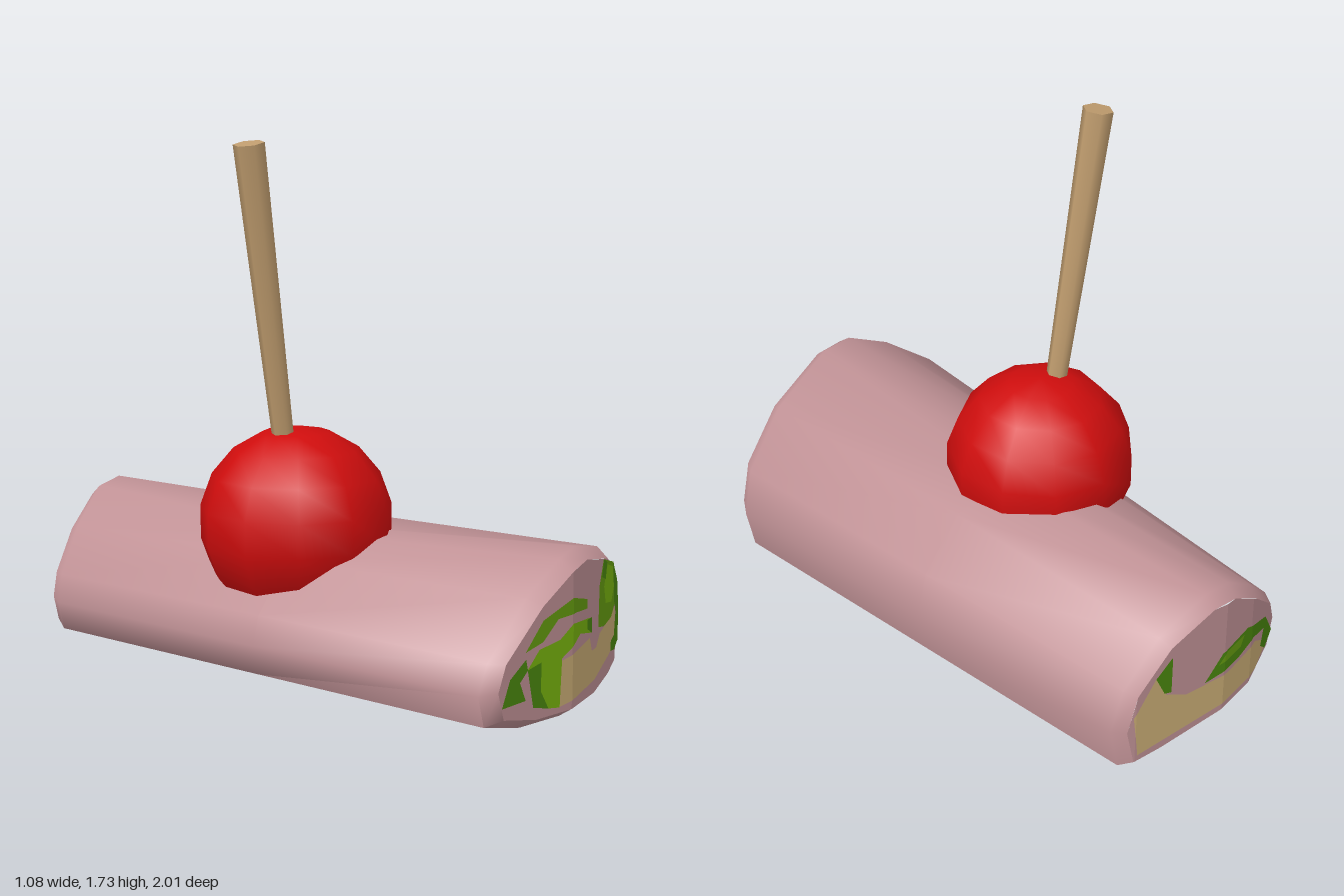
import * as THREE from 'three';
import { toCreasedNormals } from 'three/addons/utils/BufferGeometryUtils.js';

const mat = (name, color, side = THREE.FrontSide) => {
  const m = new THREE.MeshStandardMaterial({ color, side });
  m.name = name;
  return m;
};

// Piecewise linear z over x, given as [x, z] stations
const lerpTable = (table) => (x) => {
  let i = 0;
  while (i < table.length - 2 && x > table[i + 1][0]) i++;
  const [x0, z0] = table[i], [x1, z1] = table[i + 1];
  return z0 + (z1 - z0) * (x - x0) / (x1 - x0);
};

// Keep the part of a polygon on one side of a vertical line
function clip(poly, x, keepRight) {
  const inside = (p) => (keepRight ? p[0] >= x : p[0] <= x);
  const out = [];
  poly.forEach((p, i) => {
    const q = poly[(i + 1) % poly.length];
    if (inside(p)) out.push(p);
    if (inside(p) !== inside(q)) out.push([x, p[1] + (q[1] - p[1]) * (x - p[0]) / (q[0] - p[0])]);
  });
  return out;
}

// Flat patch laid on an end surface that bends along x; sign +1 faces front, -1 back
function patch(poly, table, sign, lift) {
  const group = new THREE.Group();
  const zAt = lerpTable(table);
  return { build(name, material) {
    for (let s = 0; s < table.length - 1; s++) {
      let part = poly;
      if (s > 0) part = clip(part, table[s][0], true);
      if (s < table.length - 2) part = clip(part, table[s + 1][0], false);
      if (part.length < 3) continue;
      const g = new THREE.ShapeGeometry(new THREE.Shape(part.map((p) => new THREE.Vector2(p[0], p[1]))));
      const pos = g.attributes.position;
      for (let i = 0; i < pos.count; i++) pos.setZ(i, zAt(pos.getX(i)) + sign * lift);
      if (sign < 0) g.setIndex(Array.from(g.index.array).reverse());
      g.computeVertexNormals();
      group.add(new THREE.Mesh(g, material));
    }
    group.name = name;
    return group;
  } };
}

// Skin through rings of equal point count
function loft(rings) {
  const n = rings[0].length, index = [];
  for (let i = 0; i < rings.length - 1; i++) {
    for (let j = 0; j < n; j++) {
      const a = i * n + j, b = i * n + (j + 1) % n;
      index.push(a, b, a + n, b, b + n, a + n);
    }
  }
  const g = new THREE.BufferGeometry();
  g.setAttribute('position', new THREE.Float32BufferAttribute(rings.flat(2), 3));
  g.setIndex(index);
  return toCreasedNormals(g, 1.0);
}

export function createModel() {
  const model = new THREE.Group();
  const pink = mat('wrap pink', 0xc39498);
  const red = mat('tomato red', 0xcf0d0d);
  const wood = mat('stick wood', 0xbf9c6e);
  const tan = mat('filling tan', 0xceb078);
  const lime = mat('leaf lime', 0x7bb80f);
  const leaf = mat('leaf green', 0x68a010);
  const dark = mat('leaf dark green', 0x4c8a0e);

  // Wrap body: matching outlines of the two ends
  const front = [[-0.54, 0.15], [-0.5, 0.24], [-0.3, 0.4], [-0.13, 0.49], [0, 0.505], [0.29, 0.44],
    [0.49, 0.31], [0.535, 0.16], [0.49, 0], [0.3, 0], [0.08, 0], [-0.12, 0], [-0.33, 0.01], [-0.51, 0.05]];
  const back = [[-0.46, 0.15], [-0.43, 0.24], [-0.29, 0.38], [-0.14, 0.49], [-0.03, 0.508], [0.17, 0.445],
    [0.32, 0.31], [0.36, 0.16], [0.33, 0.01], [0.2, 0], [0.05, 0], [-0.1, 0], [-0.27, 0], [-0.42, 0.05]];
  const frontZ = [[-0.54, 0.99], [-0.12, 0.998], [0.08, 0.95], [0.3, 0.862], [0.54, 0.75]];
  const backZ = [[-0.46, -0.88], [-0.25, -0.965], [-0.09, -1], [0.3, -1], [0.36, -0.99]];
  const inset = (pts, cx) => pts.map(([x, y]) => [cx + (x - cx) * 0.93, 0.22 + (y - 0.22) * 0.87]);
  const place = (pts, table, dz) => pts.map(([x, y]) => [x, y, lerpTable(table)(x) + dz]);

  const frontCap = inset(front, 0), backCap = inset(back, -0.05);
  const frontRing = place(front, frontZ, -0.045), backRing = place(back, backZ, 0.04);
  const middle = frontRing.map((p, i) => p.map((v, k) => (v + backRing[i][k]) / 2));
  middle[3][1] -= 0.045; // the ridge sags under the tomato
  middle[4][1] -= 0.057;
  const body = new THREE.Mesh(loft([place(frontCap, frontZ, 0), frontRing, middle, backRing,
    place(backCap, backZ, 0)]), pink);
  body.name = 'wrapBody';
  model.add(body);
  model.add(patch(frontCap, frontZ, 1, 0).build('frontEnd', pink));
  model.add(patch(backCap, backZ, -1, 0).build('backEnd', pink));

  // Fillings showing on the front end
  const frontFill = [
    ['frontSpread', tan, [[-0.2, 0.19], [0.03, 0.215], [0.05, 0.17], [0.1, 0.17], [0.15, 0.2], [0.43, 0.215],
      [0.43, 0.09], [0.3, 0.09], [0, 0.065], [-0.2, 0.05]]],
    ['upperLeaf', leaf, [[-0.37, 0.255], [-0.28, 0.335], [-0.12, 0.375], [0, 0.345], [0, 0.315], [-0.1, 0.325],
      [-0.2, 0.325], [-0.28, 0.27]]],
    ['middleLeaf', lime, [[-0.36, 0.2], [-0.3, 0.25], [-0.19, 0.26], [-0.12, 0.295], [0.03, 0.28], [0.04, 0.23],
      [-0.06, 0.25], [-0.18, 0.2], [-0.19, 0.05], [-0.25, 0.06], [-0.32, 0.1]]],
    ['leafShade', dark, [[-0.36, 0.2], [-0.29, 0.21], [-0.29, 0.12], [-0.25, 0.06], [-0.33, 0.08]]],
    ['sideLeaf', dark, [[-0.49, 0.11], [-0.45, 0.19], [-0.37, 0.235], [-0.36, 0.2], [-0.4, 0.17], [-0.37, 0.11]]],
    ['leafTip', dark, [[0, 0.28], [0.04, 0.28], [0.04, 0.23], [0, 0.25]]],
    ['largeLeaf', leaf, [[0.11, 0.23], [0.12, 0.36], [0.18, 0.43], [0.36, 0.38], [0.43, 0.31], [0.43, 0.24],
      [0.33, 0.21], [0.2, 0.21]]],
    ['leafHighlight', lime, [[0.19, 0.34], [0.24, 0.4], [0.34, 0.37], [0.38, 0.3], [0.32, 0.26], [0.22, 0.28]]],
    ['outerLeaf', dark, [[0.35, 0.38], [0.45, 0.3], [0.49, 0.19], [0.48, 0.09], [0.4, 0.08], [0.31, 0.1],
      [0.32, 0.13], [0.39, 0.13], [0.42, 0.2], [0.38, 0.25]]],
    ['leafKnot', dark, [[0.15, 0.38], [0.18, 0.43], [0.23, 0.41], [0.21, 0.36]]],
  ];
  // Fillings showing on the back end
  const backFill = [
    ['backSpread', tan, [[0.29, 0.06], [0.31, 0.22], [0.22, 0.33], [0.17, 0.24], [0.08, 0.19], [-0.12, 0.17],
      [-0.28, 0.18], [-0.39, 0.1], [-0.3, 0.05]]],
    ['backSmallLeaf', dark, [[0.22, 0.33], [0.15, 0.38], [0.15, 0.24], [0.18, 0.25]]],
    ['backLeaf', dark, [[0, 0.19], [-0.08, 0.27], [-0.22, 0.28], [-0.36, 0.22], [-0.42, 0.12], [-0.37, 0.08],
      [-0.33, 0.12], [-0.35, 0.18], [-0.26, 0.21], [-0.17, 0.19]]],
    ['backLeafHighlight', leaf, [[-0.06, 0.23], [-0.1, 0.265], [-0.2, 0.265], [-0.18, 0.23]]],
  ];
  [[frontFill, frontZ, 1], [backFill, backZ, -1]].forEach(([fills, table, sign]) => {
    fills.forEach(([name, material, poly], i) => {
      model.add(patch(poly, table, sign, 0.002 + i * 0.0006).build(name, material));
    });
  });

  // Tomato resting in the sagged ridge
  const tomato = new THREE.Mesh(new THREE.SphereGeometry(0.32, 11, 9), red);
  tomato.position.set(-0.165, 0.48, -0.042);
  tomato.rotation.y = -Math.PI / 2;
  tomato.name = 'tomato';
  model.add(tomato);

  // Tapered six-sided stick leaning to one side
  const low = new THREE.Vector3(-0.195, 0.55, -0.042), high = new THREE.Vector3(-0.395, 1.717, -0.042);
  const dir = high.clone().sub(low);
  const stickGeometry = new THREE.CylinderGeometry(0.051, 0.032, dir.length(), 6);
  stickGeometry.rotateY(Math.PI / 6);
  const stick = new THREE.Mesh(stickGeometry, wood);
  stick.position.copy(low).add(high).multiplyScalar(0.5);
  stick.quaternion.setFromUnitVectors(new THREE.Vector3(0, 1, 0), dir.normalize());
  stick.name = 'stick';
  model.add(stick);

  return model;
}
